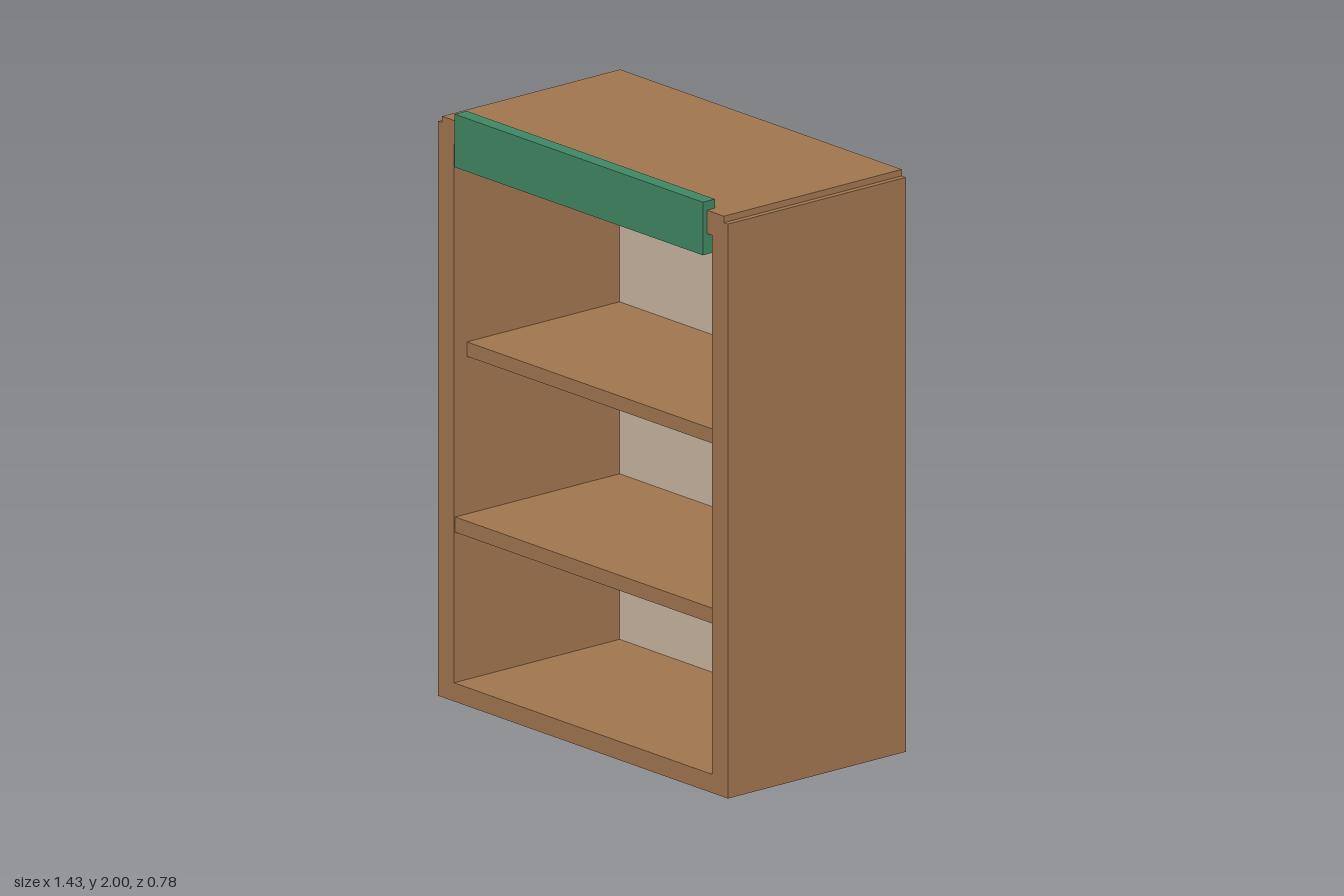
import * as THREE from 'three';

const wood = new THREE.MeshStandardMaterial({ name: 'wood', color: 0xa0754e });
const backing = new THREE.MeshStandardMaterial({ name: 'paleBacking', color: 0xc9b5a0 });
const green = new THREE.MeshStandardMaterial({ name: 'green', color: 0x408764 });

const BACK = -0.388, FRONT = 0.37;   // depth of the case
const OUT = 0.717, IN = 0.638;       // outer and inner half widths
const FLOOR = 0.063, CEIL = 1.89;    // inner opening heights

// Box given by its limits on each axis
function slab(name, material, [x0, x1], [y0, y1], [z0, z1]) {
  const mesh = new THREE.Mesh(new THREE.BoxGeometry(x1 - x0, y1 - y0, z1 - z0), material);
  mesh.position.set((x0 + x1) / 2, (y0 + y1) / 2, (z0 + z1) / 2);
  mesh.name = name;
  return mesh;
}

const outline = (points) => points.map(([x, y]) => new THREE.Vector2(x, y));

export function createModel() {
  const model = new THREE.Group();
  model.name = 'bookcase';

  // Case: sides, floor and stepped top in one profile, open through the middle
  const profile = new THREE.Shape(outline([
    [-OUT, 0], [OUT, 0], [OUT, 1.947], [0.697, 1.947],
    [0.697, 1.969], [-0.697, 1.969], [-0.697, 1.947], [-OUT, 1.947],
  ]));
  profile.holes.push(new THREE.Path(outline([
    [-IN, FLOOR], [-IN, CEIL], [IN, CEIL], [IN, FLOOR],
  ])));
  const caseGeometry = new THREE.ExtrudeGeometry(profile, { depth: FRONT - BACK, bevelEnabled: false });
  caseGeometry.translate(0, 0, BACK);
  const carcass = new THREE.Mesh(caseGeometry, wood);
  carcass.name = 'case';
  model.add(carcass);

  // Back panel, flush with the rear of the case
  model.add(slab('backPanel', backing, [-IN, IN], [FLOOR, CEIL], [BACK, -0.335]));

  // Shelves; the upper one is set back a little
  model.add(slab('lowerShelf', wood, [-IN, IN], [0.572, 0.624], [-0.335, 0.365]));
  model.add(slab('upperShelf', wood, [-IN, IN], [1.158, 1.207], [-0.335, 0.315]));

  // Sign board across the top of the front
  model.add(slab('headerBoard', green, [-0.614, 0.614], [1.82, 2], [0.337, 0.388]));

  return model;
}
